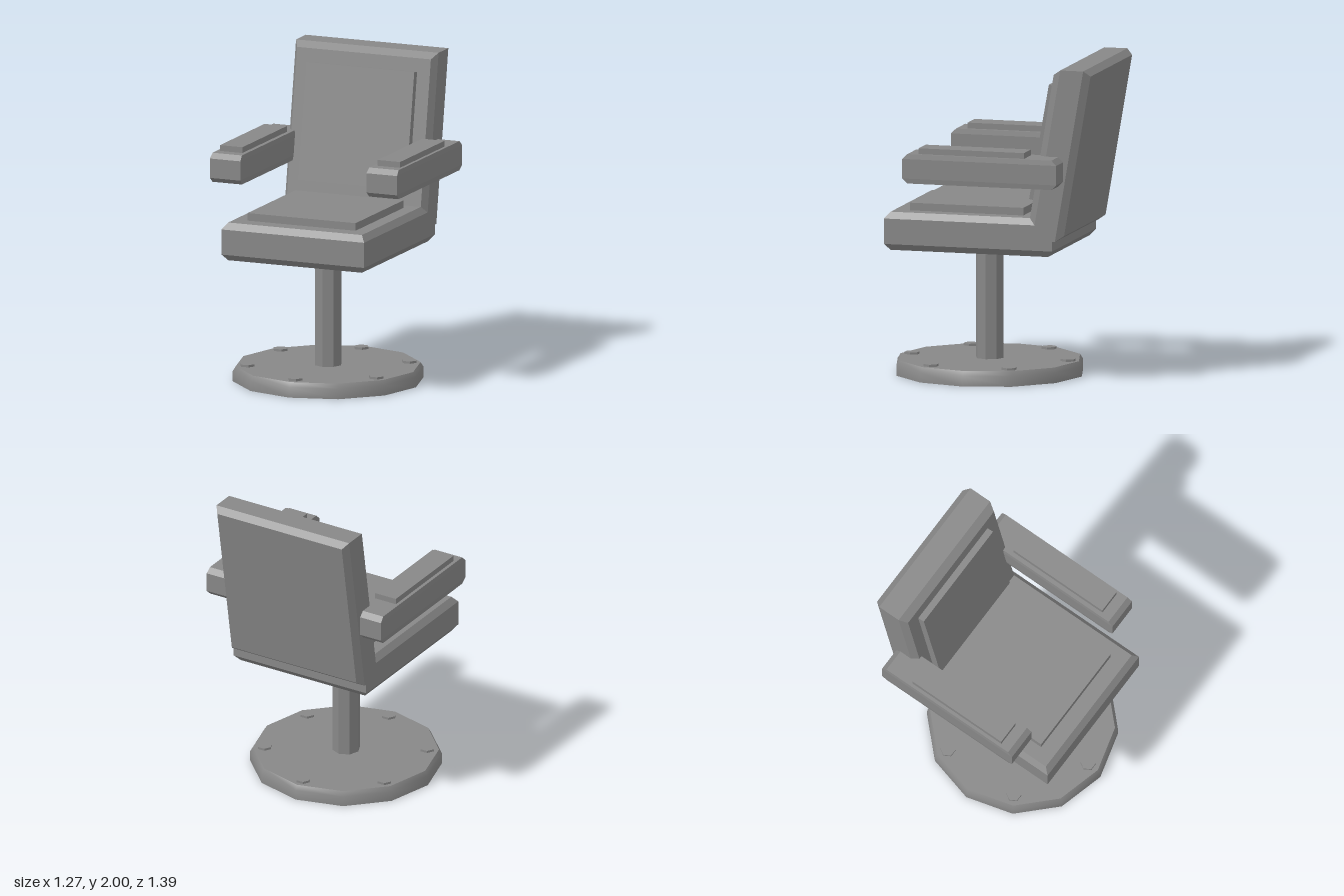
import * as THREE from 'three';
import { toCreasedNormals } from 'three/addons/utils/BufferGeometryUtils.js';

const flat = new THREE.MeshStandardMaterial({ color: 0x878787, flatShading: true });
const smooth = new THREE.MeshStandardMaterial({ color: 0x878787 });

// Box whose top and bottom faces shrink by insetX / insetZ over a bevel of given height
function bevelBox(w, h, d, insetX, insetZ, bevel) {
  const geo = new THREE.BoxGeometry(w, h, d, 1, 3, 1);
  const p = geo.attributes.position;
  for (let i = 0; i < p.count; i++) {
    const y = p.getY(i);
    if (Math.abs(y) > h * 0.4) {
      p.setX(i, p.getX(i) - Math.sign(p.getX(i)) * insetX);
      p.setZ(i, p.getZ(i) - Math.sign(p.getZ(i)) * insetZ);
    } else {
      p.setY(i, Math.sign(y) * (h / 2 - bevel));
    }
  }
  return geo;
}

export function createModel() {
  const model = new THREE.Group();
  const add = (name, geo, x, y, z, mat = flat) => {
    const mesh = new THREE.Mesh(geo, mat);
    mesh.name = name;
    mesh.position.set(x, y, z);
    model.add(mesh);
    return mesh;
  };
  const baseZ = 0.097;

  // Twelve-sided foot plate with a softly chamfered rim
  const profile = [[0, 0], [0.597, 0], [0.597, 0.065], [0.578, 0.095], [0, 0.095]]
    .map(([r, y]) => new THREE.Vector2(r, y));
  const plate = toCreasedNormals(new THREE.LatheGeometry(profile, 12), 0.75);
  add('basePlate', plate, 0, 0, baseZ, smooth);

  // Ring of hexagonal bolts
  for (let i = 0; i < 6; i++) {
    const a = (i * Math.PI) / 3;
    const bolt = new THREE.CylinderGeometry(0.048, 0.048, 0.03, 6);
    bolt.rotateY(Math.PI / 6);
    add('bolt', bolt, 0.506 * Math.sin(a), 0.094, baseZ - 0.003 + 0.506 * Math.cos(a));
  }

  // Faceted pole
  add('pole', new THREE.CylinderGeometry(0.088, 0.088, 0.76, 8), 0, 0.46, baseZ);

  // Seat and its cushion
  add('seat', bevelBox(0.97, 0.24, 1.09, 0.03, 0.035, 0.04), 0, 0.937, 0.095);
  add('seatCushion', new THREE.BoxGeometry(0.735, 0.09, 0.735), 0, 1.06, 0.138);

  // Backrest: bevelled slab stood upright, then sheared backwards
  const back = bevelBox(0.97, 0.239, 1.082, 0.03, 0.035, 0.045).rotateX(Math.PI / 2);
  const p = back.attributes.position;
  for (let i = 0; i < p.count; i++) p.setZ(i, p.getZ(i) - 0.17 * p.getY(i));
  add('backrest', back, 0, 1.459, -0.486);

  // Back cushion, leaning with the backrest
  const panel = new THREE.BoxGeometry(0.735, 0.737, 0.07).translate(0, 0, -0.035);
  add('backCushion', panel, 0, 1.525, -0.331).rotation.x = -0.175;

  // Armrests with pads
  for (const [side, s] of [['left', 1], ['right', -1]]) {
    add(side + 'Armrest', bevelBox(0.208, 0.185, 0.998, 0.004, 0.032, 0.031), s * 0.533, 1.361, -0.023);
    add(side + 'ArmPad', new THREE.BoxGeometry(0.153, 0.07, 0.683), s * 0.536, 1.455, 0.035);
  }

  return model;
}
